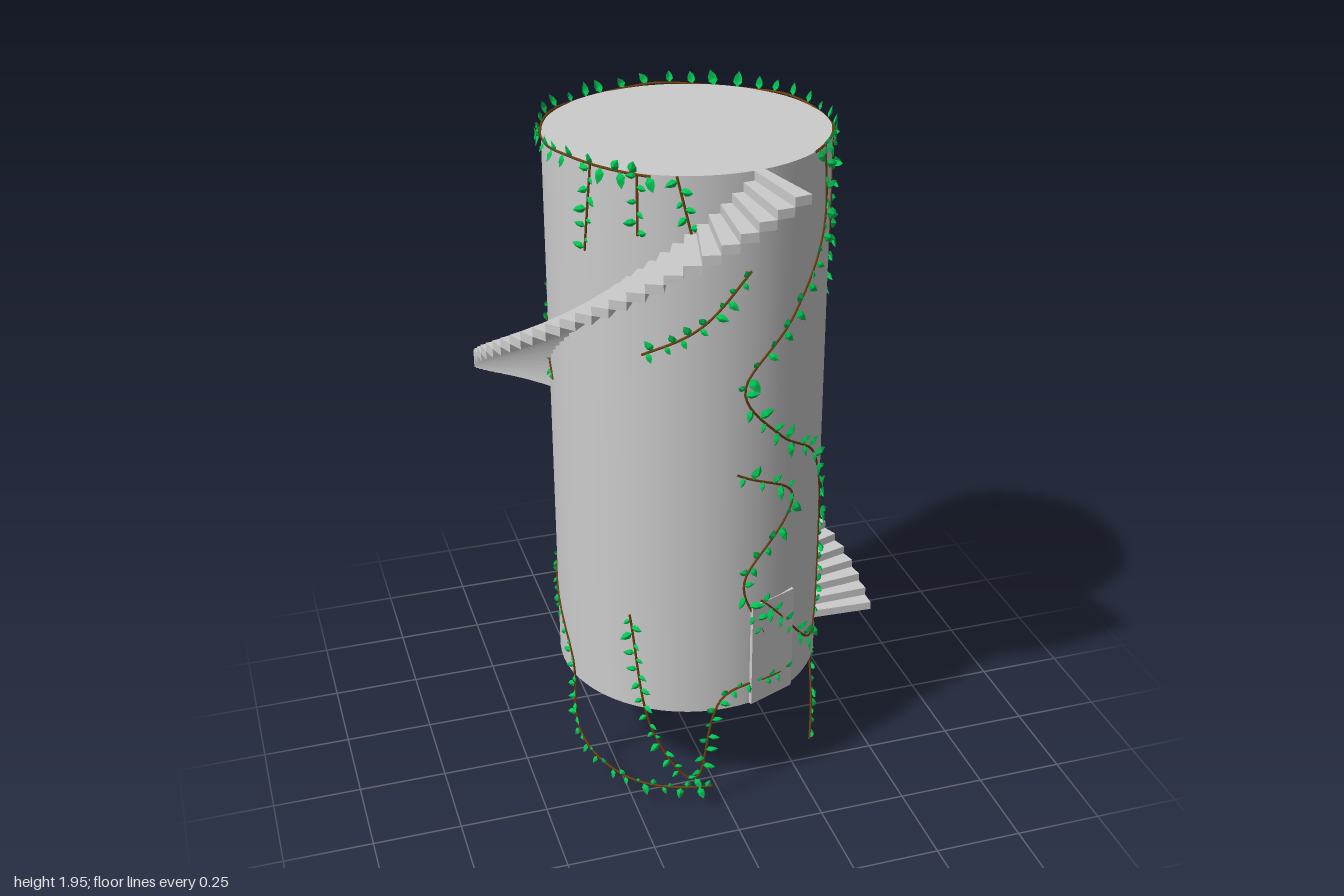
import * as THREE from 'three';
import { mergeGeometries } from 'three/addons/utils/BufferGeometryUtils.js';

const R = 0.377, BASE = 0.375, TOP = 1.95, DEG = Math.PI / 180;

const stone = new THREE.MeshStandardMaterial({ color: 0xcccccc });
const bark = new THREE.MeshStandardMaterial({ color: 0x70400f });
const green = new THREE.MeshStandardMaterial({ color: 0x00c853, flatShading: true, side: THREE.DoubleSide });

let seed = 7;
const rand = () => (seed = (seed * 16807) % 2147483647) / 2147483647;

// Turning points of the vines on the wall: [degrees from front towards +x, height]
const climbingVines = [
  [[50, 1.95], [53, 1.75], [30, 1.54], [6, 1.36], [24, 1.2], [49, 1.08], [67, 0.8], [55, 0.47], [15, 0.71]],
  [[3, 1.12], [32, 1.0], [7, 0.78], [17, 0.6]],
  [[75, 1.95], [72, 1.66], [104, 1.2], [90, 0.4], [64, 0.04]],
  [[117, 1.85], [117, 1.6], [104, 1.5], [135, 1.29], [182, 1.28], [194, 1.02]],
  [[138, 1.94], [150, 1.65], [174, 1.58], [186, 1.95]],
  [[165, 1.0], [135, 0.93], [132, 0.74], [150, 0.8]],
];
// Thinner vines on the left and those dangling below the base
const thinVines = [
  [[229, 1.93], [232, 1.57], [270, 1.28]],
  [[217, 0.8], [190, 0.65], [194, 0.38], [231, 0.31], [222, 0.13], [197, 0.14]],
  [[217, 0.8], [281, 0.45], [286, 0.2], [312, 0.12], [354, 0.11]],
  [[-42, 0.68], [-32, 0.3], [-14, 0.14], [-1, 0.42], [32, 0.44]],
  [[-35, 1.47], [-12, 1.55], [8, 1.69]],
  [[-56, 1.95], [-60, 1.72]],
  [[-36, 1.95], [-36, 1.79]],
  [[-21, 1.95], [-13, 1.73]],
];
// Vine waving along the top rim
const rimVine = Array.from({ length: 16 }, (_, i) => [40 + i * 19.3, TOP + 0.005 * Math.sin(i * 2)]);

// Curve that hugs the round wall
function wallCurve(path) {
  const flat = new THREE.CatmullRomCurve3(path.map(([a, y]) => new THREE.Vector3(a * DEG * R, y, 0)));
  const points = flat.getSpacedPoints(Math.ceil(flat.getLength() / 0.03)).map(p =>
    new THREE.Vector3(R * Math.sin(p.x / R), p.y, R * Math.cos(p.x / R)));
  return new THREE.CatmullRomCurve3(points);
}

// Pointed leaf folded along its midrib, growing along +y with its face to +z
function leafGeometry() {
  const g = new THREE.BufferGeometry();
  g.setAttribute('position', new THREE.Float32BufferAttribute([
    0, 0, 0, -0.3, 0.3, -0.1, -0.24, 0.65, -0.12, 0, 1, -0.15,
    0.24, 0.65, -0.12, 0.3, 0.3, -0.1, 0, 0.45, 0.12], 3));
  g.setIndex([0, 6, 1, 1, 6, 2, 2, 6, 3, 3, 6, 4, 4, 6, 5, 5, 6, 0]);
  g.computeVertexNormals();
  return g;
}
const leafBase = leafGeometry();

function makeVine(path, leafSize) {
  const vine = new THREE.Group();
  vine.name = 'vine';
  const curve = wallCurve(path), length = curve.getLength();
  const stem = new THREE.Mesh(new THREE.TubeGeometry(curve, Math.ceil(length / 0.02), 0.0035, 5), bark);
  stem.name = 'vineStem';

  // Leaves alternate from side to side along the stem
  const leaves = [], count = Math.max(3, Math.round(length / (leafSize * 0.85)));
  for (let i = 0; i < count; i++) {
    const u = (i + 0.2 + 0.6 * rand()) / count;
    const p = curve.getPointAt(u), t = curve.getTangentAt(u);
    const out = new THREE.Vector3(p.x, 0, p.z).normalize();
    const side = new THREE.Vector3().crossVectors(out, t).multiplyScalar(i % 2 ? 1 : -1);
    const up = side.multiplyScalar(0.7 + 0.3 * rand())
      .addScaledVector(t, 0.8 * (rand() - 0.3))
      .addScaledVector(out, 0.25 + 0.45 * rand()).normalize();
    const right = new THREE.Vector3().crossVectors(up, out).normalize();
    const face = new THREE.Vector3().crossVectors(right, up);
    const size = leafSize * (0.7 + 0.5 * rand());
    const m = new THREE.Matrix4().makeBasis(right, up, face).scale(new THREE.Vector3(size, size, size));
    m.setPosition(p.addScaledVector(out, 0.003));
    leaves.push(leafBase.clone().applyMatrix4(m));
  }
  const foliage = new THREE.Mesh(mergeGeometries(leaves), green);
  foliage.name = 'vineLeaves';
  vine.add(stem, foliage);
  return vine;
}

// Spiral stair of stacked wedges winding from the right, round the back, to the front
function makeStairs() {
  const stairs = new THREE.Group();
  stairs.name = 'spiralStairs';
  const count = 64, start = -2.4 * DEG, turn = 285.4 * DEG / count, rise = (TOP - BASE) / count;
  const inner = 0.365, outer = 0.58, c = Math.cos(turn), s = Math.sin(turn);
  const wedge = new THREE.Shape([[inner, 0], [outer, 0], [outer * c, outer * s], [inner * c, inner * s]]
    .map(([x, y]) => new THREE.Vector2(x, y)));
  const geometry = new THREE.ExtrudeGeometry(wedge, { depth: rise, bevelEnabled: false }).rotateX(-Math.PI / 2);
  for (let i = 0; i < count; i++) {
    const step = new THREE.Mesh(geometry, stone);
    step.name = `step${i + 1}`;
    step.position.y = BASE + i * rise;
    step.rotation.y = start + i * turn;
    stairs.add(step);
  }
  return stairs;
}

export function createModel() {
  const model = new THREE.Group();
  model.name = 'ivyTower';

  const tower = new THREE.Mesh(new THREE.CylinderGeometry(0.376, 0.376, TOP - BASE, 64), stone);
  tower.name = 'tower';
  tower.position.y = (TOP + BASE) / 2;

  // Flat door set into the wall
  const door = new THREE.Mesh(new THREE.BoxGeometry(0.15, 0.325, 0.03), stone);
  door.name = 'door';
  const angle = 22 * DEG, distance = 0.363;
  door.position.set(distance * Math.sin(angle), BASE + 0.1625, distance * Math.cos(angle));
  door.rotation.y = angle;

  const ivy = new THREE.Group();
  ivy.name = 'ivy';
  climbingVines.forEach(path => ivy.add(makeVine(path, 0.04)));
  thinVines.forEach(path => ivy.add(makeVine(path, 0.031)));
  ivy.add(makeVine(rimVine, 0.037));

  model.add(tower, door, makeStairs(), ivy);
  return model;
}
